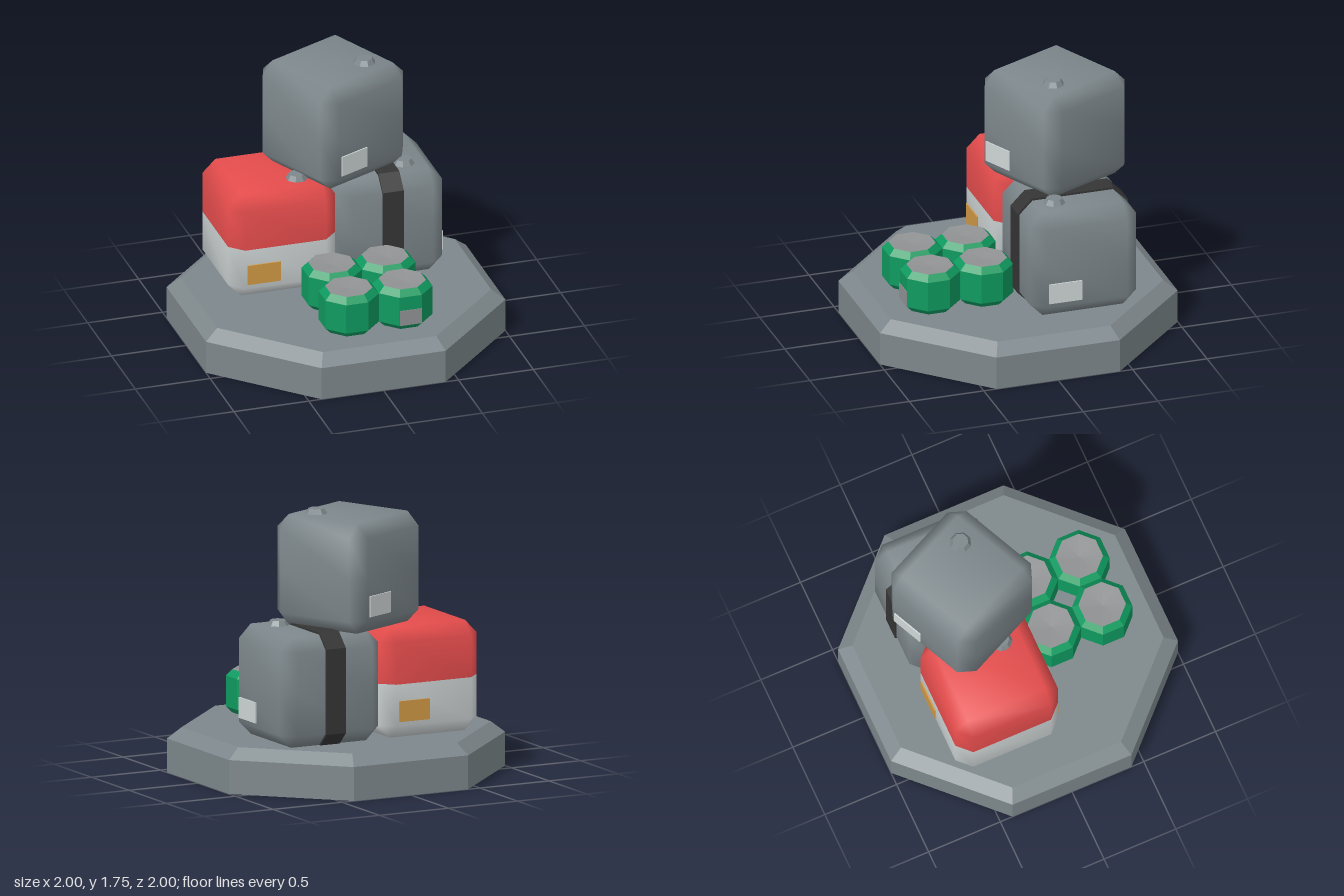
import * as THREE from 'three';
import { mergeVertices } from 'three/addons/utils/BufferGeometryUtils.js';

const mat = (name, color, extra = {}) => {
  const m = new THREE.MeshStandardMaterial({ color, ...extra });
  m.name = name;
  return m;
};

const HALF = 0.3575; // half size of a crate
const CUT = 0.087; // corner chamfer
const FLOOR = 0.29; // top of the base

// Corner-cut square outline, as [u, v] pairs
function cutSquare(h, a) {
  return [[h, -a], [h, a], [a, h], [-a, h], [-h, a], [-h, -a], [-a, -h], [a, -h]];
}

// Softly shaded chamfered cube; group 0 is the lower half, group 1 the upper
function crateGeometry() {
  const a = HALF - CUT;
  const rings = [[-HALF, a], [-a, HALF], [0, HALF], [a, HALF], [HALF, a]];
  const pos = [];
  for (const [y, h] of rings) for (const [x, z] of cutSquare(h, a)) pos.push(x, y, z);
  pos.push(0, -HALF, 0, 0, HALF, 0);
  const idx = [];
  for (let i = 0; i < 8; i++) idx.push(40, i, (i + 1) % 8);
  let lower = 0;
  for (let j = 0; j < 4; j++) {
    if (j === 2) lower = idx.length;
    for (let i = 0; i < 8; i++) {
      const n = (i + 1) % 8, p = j * 8, q = p + 8;
      idx.push(p + i, q + i, q + n, p + i, q + n, p + n);
    }
  }
  for (let i = 0; i < 8; i++) idx.push(41, 32 + (i + 1) % 8, 32 + i);
  let g = new THREE.BufferGeometry();
  g.setAttribute('position', new THREE.Float32BufferAttribute(pos, 3));
  g.setIndex(idx);
  g = mergeVertices(g);
  g.computeVertexNormals();
  g.clearGroups();
  g.addGroup(0, lower, 0);
  g.addGroup(lower, idx.length - lower, 1);
  return g;
}

// Eight-sided frustum with flats facing the axes; radii are measured to the flats
function octagon(top, bottom, height, open = false) {
  const k = 1 / Math.cos(Math.PI / 8);
  return new THREE.CylinderGeometry(top * k, bottom * k, height, 8, 1, open, Math.PI / 8);
}

export function createModel() {
  const model = new THREE.Group();
  model.name = 'cargoStack';

  const grey = mat('slate grey', 0x7d878b);
  const flatGrey = mat('flat slate grey', 0x7d878b, { flatShading: true });
  const red = mat('red', 0xe54c4c);
  const white = mat('pale grey', 0xd0d6d7);
  const orange = mat('ochre', 0xd09945);
  const black = mat('black', 0x353535, { flatShading: true });
  const green = mat('green', 0x0f9a60, { flatShading: true });
  const lidGrey = mat('lid grey', 0x909293);

  const add = (parent, name, geometry, material, x = 0, y = 0, z = 0) => {
    const m = new THREE.Mesh(geometry, material);
    m.name = name;
    m.position.set(x, y, z);
    parent.add(m);
    return m;
  };

  // Octagonal base with a bevelled top edge
  add(model, 'baseBlock', octagon(1, 1, 0.22), flatGrey, 0, 0.11, 0);
  add(model, 'baseBevel', octagon(0.915, 1, 0.07), flatGrey, 0, 0.255, 0);

  // Crates, each with a cap on top and a label on two opposite sides
  const crateGeo = crateGeometry();
  const labelGeo = new THREE.BoxGeometry(0.22, 0.135, 0.009);
  const capGeo = octagon(0.047, 0.066, 0.033);
  function crate(name, x, y, z, turn, lower, upper, labelMat, labelTurn = 0) {
    const g = new THREE.Group();
    g.name = name;
    g.position.set(x, y, z);
    g.rotation.y = turn;
    add(g, 'crateBody', crateGeo, [lower, upper]);
    add(g, 'cap', capGeo, flatGrey, 0.14, HALF + 0.0165, 0.147);
    for (const side of [0, Math.PI]) {
      const holder = new THREE.Group();
      holder.name = 'labelSide';
      holder.rotation.y = labelTurn + side;
      add(holder, 'label', labelGeo, labelMat, -0.145, -0.175, HALF + 0.005);
      g.add(holder);
    }
    model.add(g);
    return g;
  }
  const low = FLOOR + HALF;
  crate('redCrate', -HALF, low, -0.29, 0, white, red, orange);
  const strapped = crate('strappedCrate', HALF, low, -0.29, 0, grey, grey, white, Math.PI / 2);
  crate('topCrate', 0.07, low + 2 * HALF, -0.29, THREE.MathUtils.degToRad(25), grey, grey, white);

  // Dark strap wrapped around the right crate
  const outline = cutSquare(HALF + 0.013, HALF - CUT + 0.006).map(([u, v]) => new THREE.Vector2(u, v));
  const strapGeo = new THREE.ExtrudeGeometry(new THREE.Shape(outline), { depth: 0.14, bevelEnabled: false });
  strapGeo.translate(0, 0, -0.07);
  strapGeo.rotateY(Math.PI / 2);
  add(strapped, 'strap', strapGeo, black);

  // Four green cans with slightly dished lids
  const lidGeo = new THREE.ConeGeometry(0.14 / Math.cos(Math.PI / 8), 0.012, 8, 1, true, Math.PI / 8);
  lidGeo.rotateX(Math.PI);
  const index = lidGeo.index.array;
  for (let i = 0; i < index.length; i += 3) [index[i + 1], index[i + 2]] = [index[i + 2], index[i + 1]];
  lidGeo.computeVertexNormals();
  for (const x of [-0.108, 0.249]) {
    for (const z of [0.25, 0.608]) {
      const can = new THREE.Group();
      can.name = 'can';
      can.position.set(x, FLOOR, z);
      add(can, 'canFoot', octagon(0.178, 0.14, 0.04, true), green, 0, 0.02, 0);
      add(can, 'canWall', octagon(0.178, 0.178, 0.2, true), green, 0, 0.14, 0);
      add(can, 'canRim', octagon(0.14, 0.178, 0.04, true), green, 0, 0.26, 0);
      add(can, 'lid', lidGeo, lidGrey, 0, 0.274, 0);
      model.add(can);
    }
  }
  // Plate on the front right can
  add(model, 'canLabel', new THREE.BoxGeometry(0.146, 0.105, 0.006), lidGrey, 0.249, 0.384, 0.787);

  return model;
}
